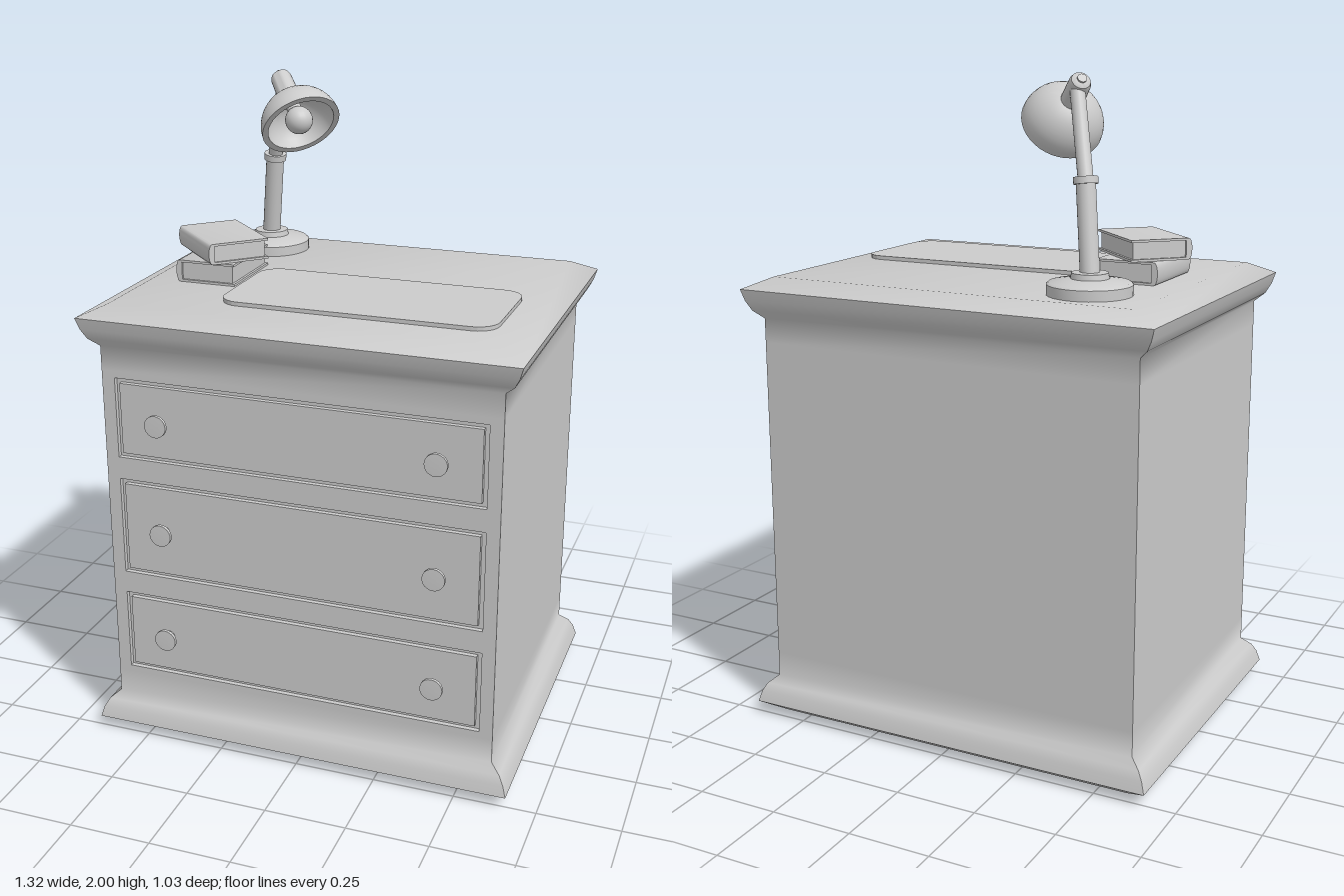
import * as THREE from 'three';
import { toCreasedNormals } from 'three/addons/utils/BufferGeometryUtils.js';

const grey = new THREE.MeshStandardMaterial({ color: 0xcccccc });
const V = (x, y, z) => new THREE.Vector3(x, y, z);
const UP = V(0, 1, 0);

function add(parent, name, geometry, x = 0, y = 0, z = 0) {
  const mesh = new THREE.Mesh(geometry, grey);
  mesh.name = name;
  mesh.position.set(x, y, z);
  parent.add(mesh);
  return mesh;
}

// Turned part; profile of [radius, height] running bottom to top
function lathe(profile, segments = 32) {
  const points = profile.map(([r, y]) => new THREE.Vector2(r, y));
  return toCreasedNormals(new THREE.LatheGeometry(points, segments), 0.6);
}

// Round bar between two points
function rod(parent, name, a, b, r0, r1 = r0) {
  const mid = a.clone().add(b).multiplyScalar(0.5);
  const mesh = add(parent, name, new THREE.CylinderGeometry(r1, r0, a.distanceTo(b), 20), mid.x, mid.y, mid.z);
  mesh.quaternion.setFromUnitVectors(UP, b.clone().sub(a).normalize());
  return mesh;
}

function rectangle(PathType, x0, y0, x1, y1) {
  return new PathType([[x0, y0], [x1, y0], [x1, y1], [x0, y1]].map(p => new THREE.Vector2(...p)));
}

const HALF_X = 0.66, HALF_Z = 0.515;
const BODY = 0.917; // body size relative to the mouldings
const FRONT = HALF_Z * BODY;

// Rectangular rings stacked up: plinth, straight body, cornice
function carcassGeometry() {
  const rings = [[0, 0.885], [0.04, 1], [0.075, 0.984], [0.1, 0.962], [0.125, BODY], [0.2, BODY], [1.2, BODY],
    [1.275, BODY], [1.3, 0.96], [1.33, 0.984], [1.365, 1], [1.4, 0.88]];
  const corners = [[-1, 1], [1, 1], [1, -1], [-1, -1]];
  const position = [], index = [];
  for (const [y, s] of rings) for (const [x, z] of corners) position.push(x * HALF_X * s, y, z * HALF_Z * s);
  for (let i = 0; i < rings.length - 1; i++) {
    for (let k = 0; k < 4; k++) {
      if (k === 0 && rings[i][0] === 0.2) continue; // drawer face fills this opening
      const a = i * 4 + k, b = i * 4 + (k + 1) % 4;
      index.push(a, b, b + 4, a, b + 4, a + 4);
    }
  }
  const t = (rings.length - 1) * 4;
  index.push(t, t + 1, t + 2, t, t + 2, t + 3, 0, 2, 1, 0, 3, 2);
  const g = new THREE.BufferGeometry();
  g.setAttribute('position', new THREE.Float32BufferAttribute(position, 3));
  g.setIndex(index);
  return toCreasedNormals(g, 1.0);
}

function buildCabinet() {
  const cabinet = new THREE.Group();
  cabinet.name = 'cabinet';
  add(cabinet, 'carcass', carcassGeometry());

  // Front frame with an opening for each drawer
  const drawers = [[0.22, 0.48], [0.55, 0.86], [0.93, 1.18]];
  const halfW = 0.565, gap = 0.015, depth = 0.015;
  const frame = rectangle(THREE.Shape, -HALF_X * BODY, 0.2, HALF_X * BODY, 1.2);
  for (const [y0, y1] of drawers) frame.holes.push(rectangle(THREE.Path, -halfW, y0, halfW, y1));
  add(cabinet, 'frontFrame', new THREE.ExtrudeGeometry(frame, { depth, bevelEnabled: false }), 0, 0, FRONT - depth);
  add(cabinet, 'frameBacking', new THREE.BoxGeometry(1.2, 1, 0.01), 0, 0.7, FRONT - depth - 0.005);

  const knob = lathe([[0.018, 0], [0.018, 0.02], [0.034, 0.023], [0.034, 0.033], [0, 0.034]], 24);
  for (const [y0, y1] of drawers) {
    const y = (y0 + y1) / 2;
    add(cabinet, 'drawerFront', new THREE.BoxGeometry(2 * (halfW - gap), y1 - y0 - 2 * gap, depth),
      0, y, FRONT - depth / 2);
    for (const side of [-1, 1]) add(cabinet, 'drawerKnob', knob, side * 0.425, y, FRONT).rotation.x = Math.PI / 2;
  }
  return cabinet;
}

// Thin mat with rounded corners
function matGeometry(w, d, r, height) {
  const s = new THREE.Shape(), x = w / 2 - r, y = d / 2 - r;
  s.absarc(x, y, r, 0, Math.PI / 2);
  s.absarc(-x, y, r, Math.PI / 2, Math.PI);
  s.absarc(-x, -y, r, Math.PI, Math.PI * 1.5);
  s.absarc(x, -y, r, Math.PI * 1.5, Math.PI * 2);
  const g = new THREE.ExtrudeGeometry(s, { depth: height, bevelEnabled: false, curveSegments: 3 });
  return g.rotateX(-Math.PI / 2);
}

// Cover with a rounded spine on -x wrapped around a page block
function buildBook(name, w, h, d) {
  const book = new THREE.Group();
  book.name = name;
  const t = 0.007, bulge = 0.012, x0 = -w / 2 + bulge, x1 = w / 2;
  const s = new THREE.Shape();
  s.moveTo(x0, 0);
  s.lineTo(x1, 0);
  s.lineTo(x1, t);
  s.lineTo(x0 + t, t);
  s.lineTo(x0 + t, h - t);
  s.lineTo(x1, h - t);
  s.lineTo(x1, h);
  s.lineTo(x0, h);
  s.bezierCurveTo(x0 - bulge * 1.3, h, x0 - bulge * 1.3, 0, x0, 0);
  const cover = new THREE.ExtrudeGeometry(s, { depth: d, bevelEnabled: false, curveSegments: 10 });
  add(book, 'cover', toCreasedNormals(cover, 0.7), 0, 0, -d / 2);
  add(book, 'pages', new THREE.BoxGeometry(w - bulge - t - 0.008, h - 2 * t, d - 0.014),
    (bulge + t - 0.008) / 2, h / 2, 0);
  return book;
}

function buildLamp() {
  const lamp = new THREE.Group();
  lamp.name = 'lamp';
  add(lamp, 'lampBase', lathe([[0, 0], [0.122, 0], [0.122, 0.03], [0.115, 0.036], [0.055, 0.046],
    [0.052, 0.062], [0, 0.064]]), -0.38, 1.4, -0.3);

  // Two-part arm with a collar at the elbow
  const foot = V(-0.38, 1.45, -0.3), elbow = V(-0.348, 1.71, -0.265), pivot = V(-0.28, 1.95, -0.178);
  rod(lamp, 'lowerArm', foot, elbow, 0.028);
  rod(lamp, 'upperArm', elbow, pivot, 0.022);
  const along = elbow.clone().sub(foot).normalize().multiplyScalar(0.01);
  rod(lamp, 'elbowCollar', elbow.clone().sub(along), elbow.clone().add(along), 0.035);

  // Head: local +y is the direction the light shines
  const head = new THREE.Group();
  head.name = 'lampHead';
  head.position.set(-0.182, 1.85, -0.07);
  head.quaternion.setFromUnitVectors(UP, V(0.55, -0.63, 0.55).normalize());
  lamp.add(head);
  const shade = [];
  for (let i = 0; i <= 10; i++) {
    const a = i / 10 * Math.PI / 2;
    shade.push([0.122 * Math.sin(a), -0.115 * Math.cos(a)]);
  }
  for (let i = 10; i >= 0; i--) {
    const a = i / 10 * Math.PI / 2;
    shade.push([0.104 * Math.sin(a), -0.098 * Math.cos(a)]);
  }
  add(head, 'shade', lathe(shade, 40));
  add(head, 'socket', lathe([[0, -0.208], [0.018, -0.207], [0.028, -0.2], [0.032, -0.188], [0.034, -0.09], [0, -0.09]], 24));
  add(head, 'switchButton', new THREE.CylinderGeometry(0.014, 0.014, 0.008, 16), 0, -0.208, 0);
  add(head, 'bulbNeck', new THREE.CylinderGeometry(0.022, 0.022, 0.07, 20), 0, -0.07, 0);
  add(head, 'bulb', new THREE.SphereGeometry(0.042, 24, 16), 0, -0.02, 0);
  return lamp;
}

export function createModel() {
  const model = new THREE.Group();
  model.name = 'nightstand';
  model.add(buildCabinet(), buildLamp());
  add(model, 'deskMat', matGeometry(0.825, 0.38, 0.065, 0.012), 0.127, 1.4, 0.165);

  const lower = buildBook('lowerBook', 0.19, 0.067, 0.265);
  lower.position.set(-0.403, 1.4, 0.04);
  const upper = buildBook('upperBook', 0.19, 0.063, 0.265);
  upper.position.set(-0.4, 1.467, 0.043);
  upper.rotation.y = Math.PI / 4;
  model.add(lower, upper);
  return model;
}
